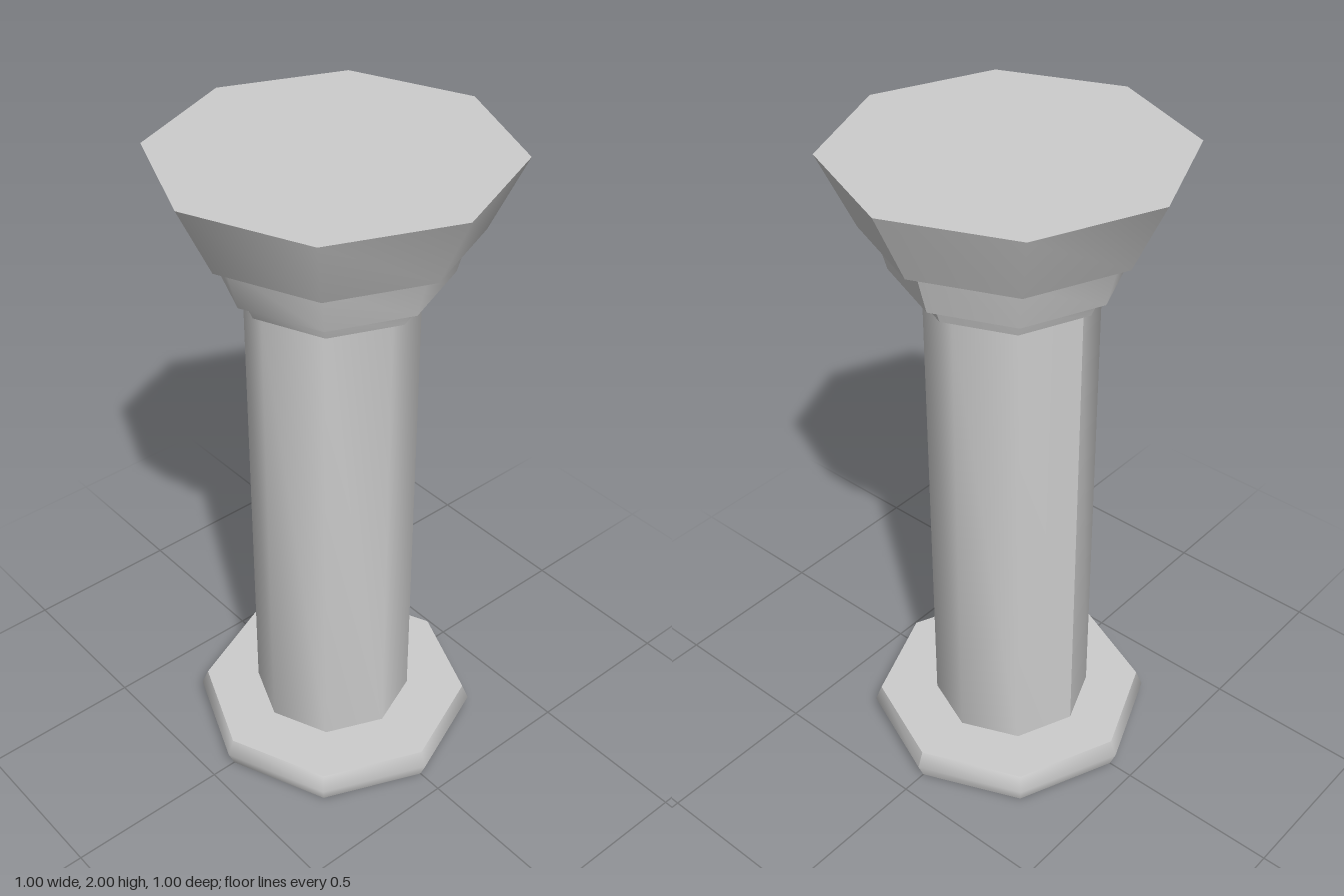
import * as THREE from 'three';
import { mergeGeometries } from 'three/addons/utils/BufferGeometryUtils.js';

const SIDES = 8;

// Turn one run of [radius, height] points; smooth inside the run, seam at the given angle
function band(points, seam = Math.PI) {
  const g = new THREE.LatheGeometry(points.map(([r, y]) => new THREE.Vector2(r, y)), SIDES, seam);
  g.computeVertexNormals();
  return g;
}

// Several runs in one mesh, with hard edges between the runs
function turned(name, runs, material, seam) {
  const mesh = new THREE.Mesh(mergeGeometries(runs.map((run) => band(run, seam))), material);
  mesh.name = name;
  return mesh;
}

export function createModel() {
  const group = new THREE.Group();
  group.name = 'column';
  const stone = new THREE.MeshStandardMaterial({ color: 0xcccccc, side: THREE.DoubleSide });

  // Hollow base slab with a bulging rim, open underneath
  group.add(turned('base', [
    [[0.42, 0], [0.44, 0.05], [0.42, 0.1]],
    [[0.42, 0.1], [0, 0.1]],
  ], stone));

  // Shaft, with a small flared foot hidden inside the base
  const shaft = turned('shaft', [
    [[0, 0.05], [0.245, 0.05]],
    [[0.245, 0.05], [0.28, 0.06]],
    [[0.245, 0.06], [0.245, 1.61]],
  ], stone, -Math.PI / 2);
  shaft.position.x = -0.01;
  group.add(shaft);

  // Stepped capital: three flaring tiers, each with a flat underside
  const tiers = [
    ['capitalNeck', 0.28, 1.61, 0.297, 1.66],
    ['capitalMiddle', 0.327, 1.66, 0.362, 1.79],
    ['capitalTop', 0.4, 1.79, 0.5, 2],
  ];
  for (const [name, r0, y0, r1, y1] of tiers) {
    group.add(turned(name, [
      [[0, y0], [r0, y0]],
      [[r0, y0], [r1, y1]],
      [[r1, y1], [0, y1]],
    ], stone));
  }
  return group;
}
